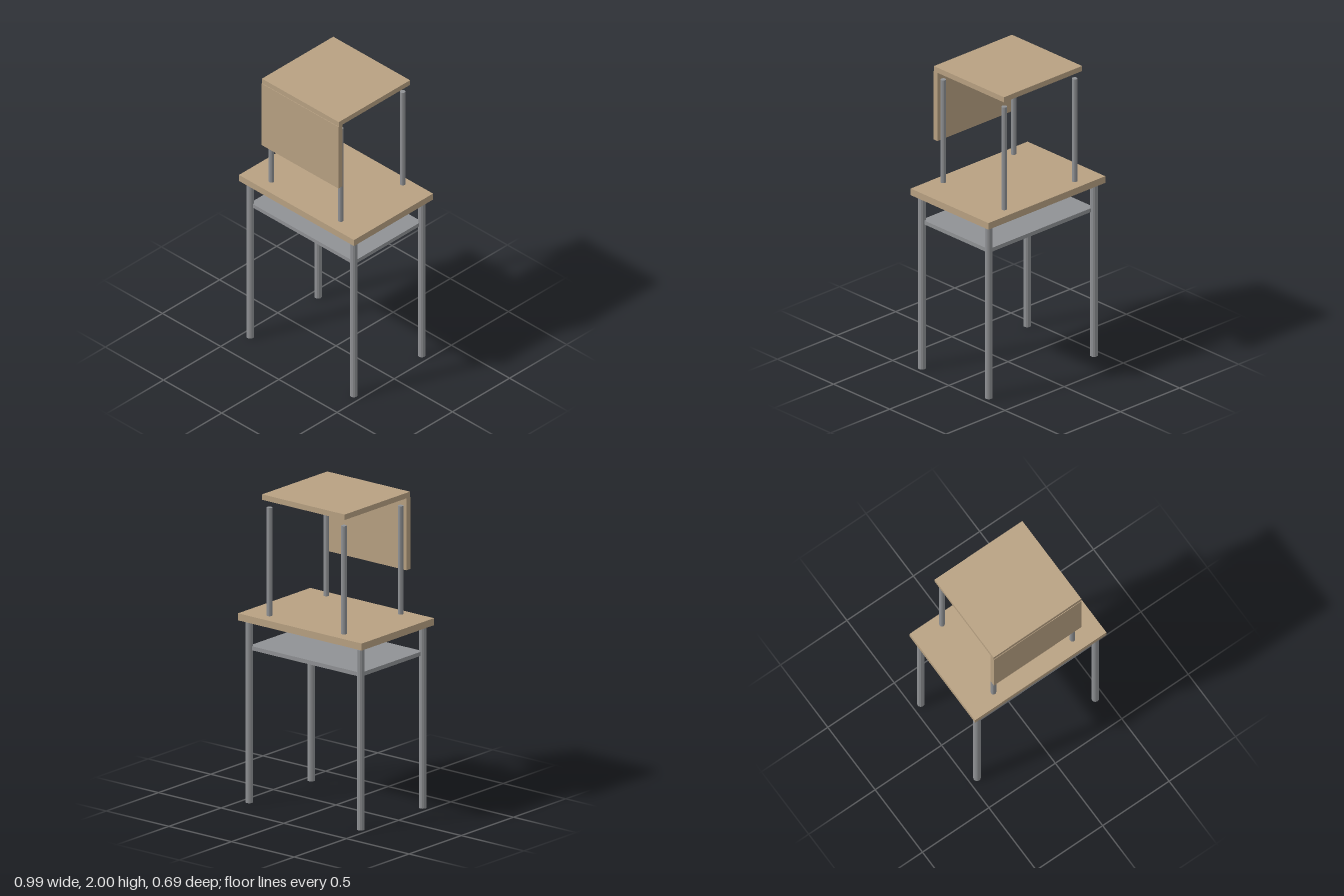
import * as THREE from 'three';

export function createModel() {
  const model = new THREE.Group();
  model.name = 'chairOnDesk';

  const wood = new THREE.MeshStandardMaterial({ color: 0xb8a182 });
  wood.name = 'wood';
  const metal = new THREE.MeshStandardMaterial({ color: 0x909295, flatShading: true });
  metal.name = 'greyMetal';

  // Box given by its size and its lower and upper y
  function board(parent, name, material, width, depth, y0, y1, z = 0) {
    const mesh = new THREE.Mesh(new THREE.BoxGeometry(width, y1 - y0, depth), material);
    mesh.name = name;
    mesh.position.set(0, (y0 + y1) / 2, z);
    parent.add(mesh);
  }

  // Four round legs, mirrored left and right
  function legs(parent, name, radius, x, zFront, zBack, y0, y1) {
    const geometry = new THREE.CylinderGeometry(radius, radius, y1 - y0, 12);
    for (const [end, z] of [['Front', zFront], ['Back', zBack]]) {
      for (const [side, sx] of [['Left', 1], ['Right', -1]]) {
        const leg = new THREE.Mesh(geometry, metal);
        leg.name = name + end + side;
        leg.position.set(sx * x, (y0 + y1) / 2, z);
        parent.add(leg);
      }
    }
  }

  // Desk: top, shelf tray and legs
  const desk = new THREE.Group();
  desk.name = 'desk';
  board(desk, 'deskTop', wood, 0.988, 0.692, 1.168, 1.213);
  board(desk, 'deskShelf', metal, 0.89, 0.594, 0.978, 1.004);
  legs(desk, 'deskLeg', 0.024, 0.445, 0.297, -0.297, 0, 1.155);

  // Chair turned upside down on the desk
  const chair = new THREE.Group();
  chair.name = 'upturnedChair';
  board(chair, 'seat', wood, 0.66, 0.624, 1.965, 2);
  board(chair, 'backrest', wood, 0.66, 0.035, 1.503, 1.965, 0.2975);
  legs(chair, 'chairLeg', 0.0175, 0.297, 0.263, -0.28, 1.222, 1.916);

  model.add(desk, chair);
  return model;
}
